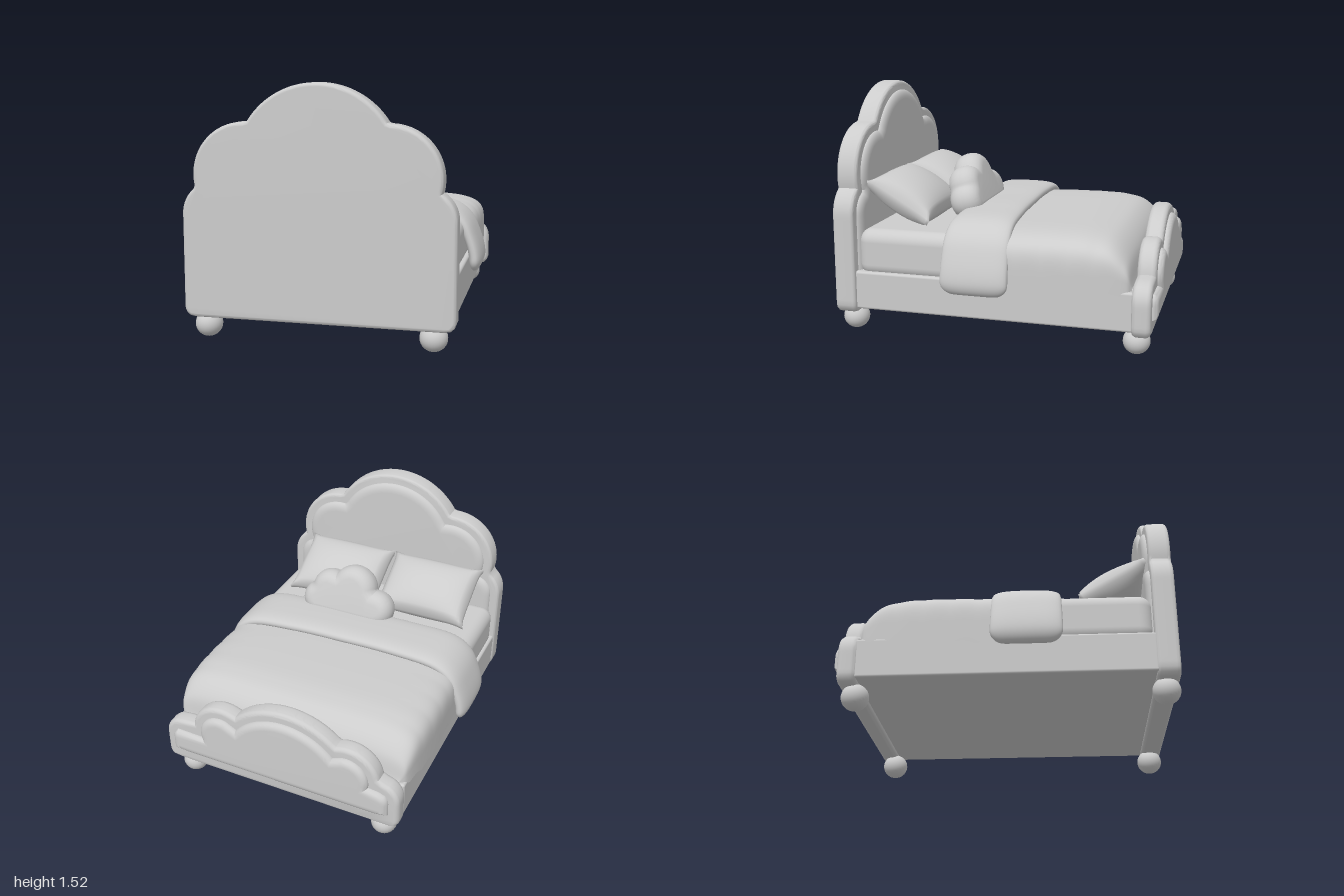
import * as THREE from 'three';
import { mergeVertices, toCreasedNormals } from 'three/addons/utils/BufferGeometryUtils.js';
import { RoundedBoxGeometry } from 'three/addons/geometries/RoundedBoxGeometry.js';

const paleGrey = new THREE.MeshStandardMaterial({ color: 0xcccccc, side: THREE.DoubleSide });
paleGrey.name = 'paleGrey';

function add(parent, name, geometry, x = 0, y = 0, z = 0) {
  const mesh = new THREE.Mesh(geometry, paleGrey);
  mesh.name = name;
  mesh.position.set(x, y, z);
  parent.add(mesh);
  return mesh;
}

// Outline of a union of circles [x, y, r] and boxes [x0, y0, x1, y1], cut off below a floor,
// traced by rays from an inner point
function cloudOutline(ox, oy, floor, circles, boxes, inset = 0, n = 220) {
  const points = [];
  for (let i = 0; i < n; i++) {
    const a = (i / n) * Math.PI * 2, dx = Math.cos(a), dy = Math.sin(a);
    let far = 0;
    for (const [x, y, r] of circles) {
      const cx = x - ox, cy = y - oy, b = cx * dx + cy * dy;
      const disc = b * b - cx * cx - cy * cy + (r - inset) ** 2;
      // Large lobes shape only the top; small corner circles may face down
      if (disc >= 0 && (dy > 0 || r < 0.14)) far = Math.max(far, b + Math.sqrt(disc));
    }
    for (const [x0, y0, x1, y1] of boxes) {
      const tx = dx > 0 ? (x1 - inset - ox) / dx : (x0 + inset - ox) / dx;
      const ty = dy > 0 ? (y1 - oy) / dy : (y0 + inset - oy) / dy;
      far = Math.max(far, Math.min(Math.abs(tx), Math.abs(ty)));
    }
    if (dy < 0) far = Math.min(far, (oy - floor - inset) / -dy);
    points.push(new THREE.Vector2(ox + dx * far, oy + dy * far));
  }
  return new THREE.Shape(points);
}

// Flat slab between two z values with rounded edges
function slab(shape, z0, z1, bevel, inset) {
  const geometry = new THREE.ExtrudeGeometry(shape, {
    depth: z1 - z0 - 2 * bevel, bevelThickness: bevel, bevelSize: inset,
    bevelOffset: -inset, bevelSegments: 6, curveSegments: 1,
  });
  geometry.translate(0, 0, z0 + bevel);
  return toCreasedNormals(geometry, 0.6);
}

// Smooth skin over rows of points
function loft(rows) {
  const m = rows[0].length, index = [];
  for (let i = 0; i < rows.length - 1; i++) {
    for (let j = 0; j < m - 1; j++) {
      const a = i * m + j, b = a + m;
      index.push(a, b, a + 1, a + 1, b, b + 1);
    }
  }
  const geometry = new THREE.BufferGeometry();
  geometry.setAttribute('position', new THREE.Float32BufferAttribute(rows.flat(2), 3));
  geometry.setIndex(index);
  const welded = mergeVertices(geometry, 1e-4);
  welded.computeVertexNormals();
  return welded;
}

const power = (v, p) => Math.sign(v) * Math.abs(v) ** p;

// Duvet: rounded arches that sink at the foot end, with a scalloped hem
function duvetGeometry() {
  const profile = new THREE.CatmullRomCurve3([ // half width, top height, z
    [0.81, 0.69, 0.25], [0.815, 0.705, -0.1], [0.82, 0.71, -0.4], [0.815, 0.70, -0.6],
    [0.805, 0.665, -0.72], [0.785, 0.57, -0.81], [0.75, 0.42, -0.845],
  ].map((p) => new THREE.Vector3(...p)));
  return loft(profile.getSpacedPoints(70).map(({ x: w, y: top, z }) => {
    const hem = 0.34 + 0.022 * Math.abs(Math.sin(z * 20)) + 0.035 * THREE.MathUtils.smoothstep(-z, 0.5, 0.84);
    const row = [];
    for (let j = 0; j <= 56; j++) {
      const a = (j / 56) * Math.PI;
      const s = Math.max(Math.sin(a), 0);
      row.push([0.005 + w * power(Math.cos(a), 0.32), hem + (top - hem) * s ** 0.34, z]);
    }
    return row;
  }));
}

// Folded band: a thick rounded strip draped across the bed
function bandGeometry() {
  const half = [[0.84, 0.32], [0.845, 0.41], [0.812, 0.53], [0.758, 0.635], [0.66, 0.7], [0.35, 0.728]];
  const path = new THREE.CatmullRomCurve3([
    ...half.map(([x, y]) => new THREE.Vector3(-x, y, 0)),
    new THREE.Vector3(0, 0.73, 0),
    ...half.map(([x, y]) => new THREE.Vector3(x, y, 0)).reverse(),
  ]);
  const length = path.getLength(), rows = [], n = 90;
  for (let i = 0; i <= n; i++) {
    const t = 0.5 - 0.5 * Math.cos((i / n) * Math.PI);
    const p = path.getPointAt(t), d = path.getTangentAt(t);
    const end = Math.min(1, (Math.min(t, 1 - t) * length) / 0.08);
    const round = Math.sqrt(1 - (1 - end) ** 2);
    const side = Math.abs(p.x / 0.85) ** 2;
    const zc = 0.11 - 0.022 * (p.x / 0.85);
    const hz = 0.185 + 0.025 * side - 0.09 * (1 - round), th = 0.043 * round;
    const row = [];
    for (let j = 0; j <= 32; j++) {
      const a = (j / 32) * Math.PI * 2;
      const off = th * power(Math.sin(a), 0.8);
      row.push([p.x - d.y * off, p.y + d.x * off, zc + hz * power(Math.cos(a), 0.6)]);
    }
    rows.push(row);
  }
  return loft(rows);
}

// Pillow: a puffed box with thin pinched edges and pointed corners
function pillowGeometry(w, h, puff) {
  const geometry = new THREE.BoxGeometry(2, 2, 2, 28, 22, 1);
  geometry.deleteAttribute('normal');
  geometry.deleteAttribute('uv');
  const pos = geometry.attributes.position;
  for (let i = 0; i < pos.count; i++) {
    const u = pos.getX(i), v = pos.getY(i), side = Math.sign(pos.getZ(i));
    const swell = Math.max((1 - u * u) * (1 - v * v), 0) ** 0.45;
    pos.setXYZ(i, w * u * (1 - 0.06 * (1 - v ** 6)), h * v * (1 - 0.08 * (1 - u ** 6)), side * (0.016 + puff * swell));
  }
  const welded = mergeVertices(geometry, 1e-4);
  welded.computeVertexNormals();
  return welded;
}

export function createModel() {
  const bed = new THREE.Group();
  bed.name = 'bed';

  // Headboard with a raised, softly rounded inner panel
  const headCircles = [
    [0.02, 1.03, 0.486], [-0.41, 0.98, 0.31], [0.435, 0.98, 0.31],
    [-0.60, 0.75, 0.19], [0.635, 0.75, 0.19],
  ];
  const headCorners = [[-0.73, 0.19, 0.06], [0.765, 0.19, 0.06]];
  const headBoxes = [[-0.79, 0.19, 0.825, 0.75], [-0.73, 0.13, 0.765, 0.75]];
  add(bed, 'headboard', slab(
    cloudOutline(0.02, 0.7, 0.13, [...headCircles, ...headCorners], headBoxes), 0.865, 1, 0.025, 0.022));
  add(bed, 'headboardPanel', slab(
    cloudOutline(0.02, 0.7, 0.13, headCircles, [[-0.79, 0.13, 0.825, 0.75]], 0.06), 0.835, 0.91, 0.035, 0.06));

  // Footboard with a raised outer panel
  const footCircles = [
    [-0.04, 0.257, 0.498], [-0.45, 0.43, 0.21], [0.41, 0.43, 0.21],
    [-0.66, 0.33, 0.13], [0.70, 0.33, 0.13],
  ];
  const footCorners = [[-0.73, 0.19, 0.06], [0.77, 0.19, 0.06]];
  const footBoxes = [[-0.79, 0.19, 0.83, 0.34], [-0.73, 0.13, 0.77, 0.34]];
  add(bed, 'footboard', slab(
    cloudOutline(0, 0.3, 0.13, [...footCircles, ...footCorners], footBoxes), -0.965, -0.85, 0.035, 0.03));
  add(bed, 'footboardPanel', slab(
    cloudOutline(0, 0.3, 0.16, footCircles, [[-0.79, 0.16, 0.83, 0.34]], 0.065), -1, -0.92, 0.035, 0.045));

  // Round feet
  for (const x of [-0.665, 0.69]) {
    for (const z of [0.92, -0.87]) {
      add(bed, 'foot', new THREE.SphereGeometry(0.082, 28, 20), x, 0.08, z).scale.y = 0.97;
    }
  }

  // Frame and mattress
  add(bed, 'bedFrame', new RoundedBoxGeometry(1.58, 0.24, 1.74, 3, 0.015), 0.008, 0.28, 0.01);
  add(bed, 'mattress', new RoundedBoxGeometry(1.55, 0.30, 1.56, 6, 0.08), 0.005, 0.512, 0.085);

  // Bedding
  add(bed, 'duvet', duvetGeometry());
  add(bed, 'foldedBand', bandGeometry());

  // Sleeping pillows leaning on the headboard
  for (const x of [-0.34, 0.32]) {
    const pillow = add(bed, 'pillow', pillowGeometry(0.33, 0.235, 0.115), x, 0.815, 0.645);
    pillow.rotation.x = 1.04;
  }

  // Cloud cushion
  const cloud = cloudOutline(0, -0.04, -0.2,
    [[-0.03, 0.03, 0.16], [0.14, 0.0, 0.13], [-0.205, -0.075, 0.125], [0.215, -0.085, 0.115], [0, -0.07, 0.13]],
    [[-0.2, -0.2, 0.21, 0]], 0, 160);
  const cushion = add(bed, 'cloudCushion', slab(cloud, -0.1, 0.1, 0.095, 0.08), 0.11, 0.865, 0.315);
  cushion.rotation.x = 0.32;

  return bed;
}
